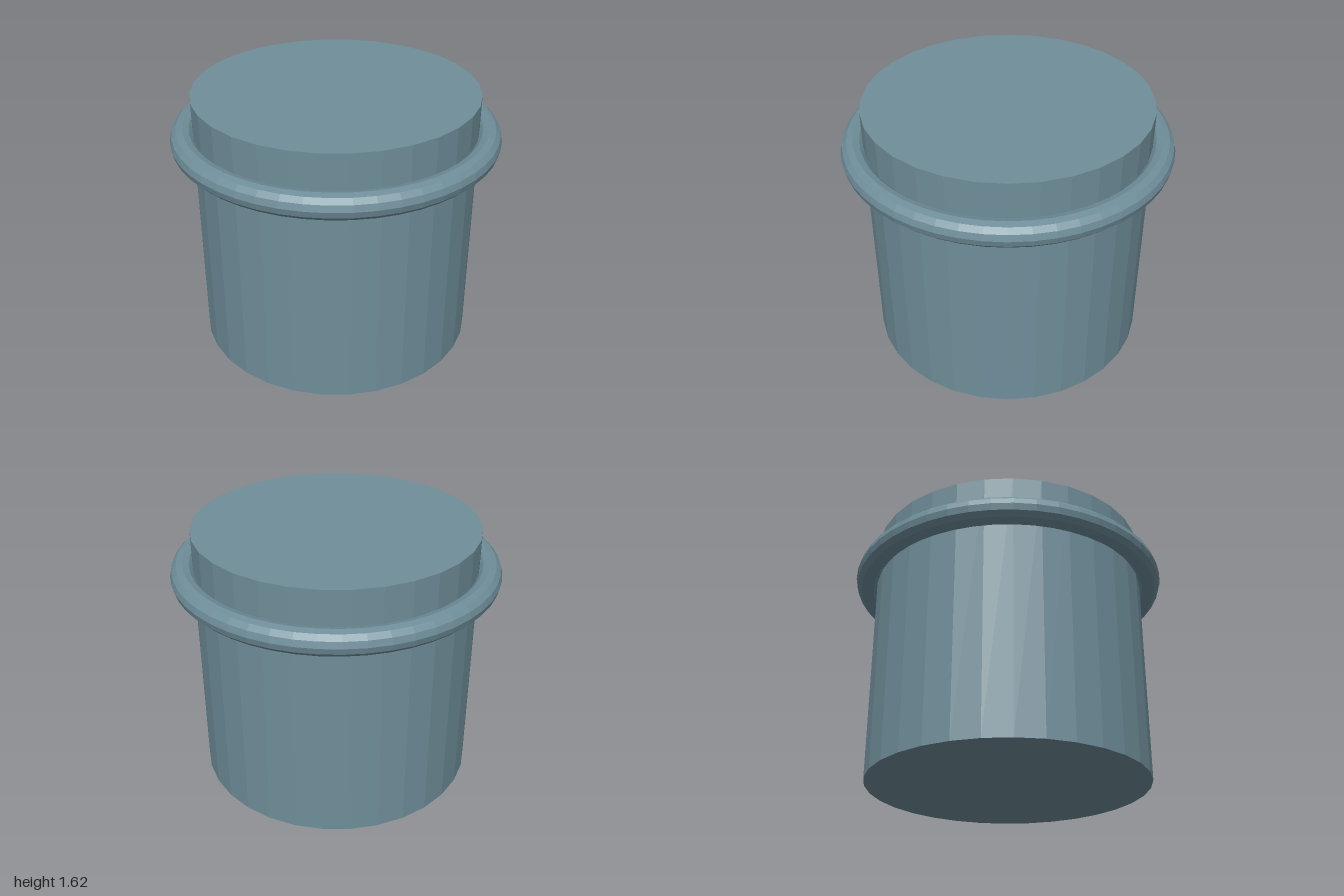
import * as THREE from 'three';

export function createModel() {
  const group = new THREE.Group();
  const blueGrey = new THREE.MeshStandardMaterial({ color: 0x6f8e9a });
  blueGrey.name = 'blueGrey';
  blueGrey.flatShading = true;

  const add = (name, geometry, y) => {
    const mesh = new THREE.Mesh(geometry, blueGrey);
    mesh.name = name;
    mesh.position.y = y;
    group.add(mesh);
  };

  // Solid drum, closed at both ends
  const height = 1.625;
  add('drum', new THREE.CylinderGeometry(0.865, 0.865, height, 32), height / 2);

  // Rounded collar around the upper part
  const collar = new THREE.TorusGeometry(0.923, 0.077, 12, 48);
  collar.rotateX(Math.PI / 2);
  add('collar', collar, 1.354);

  return group;
}
